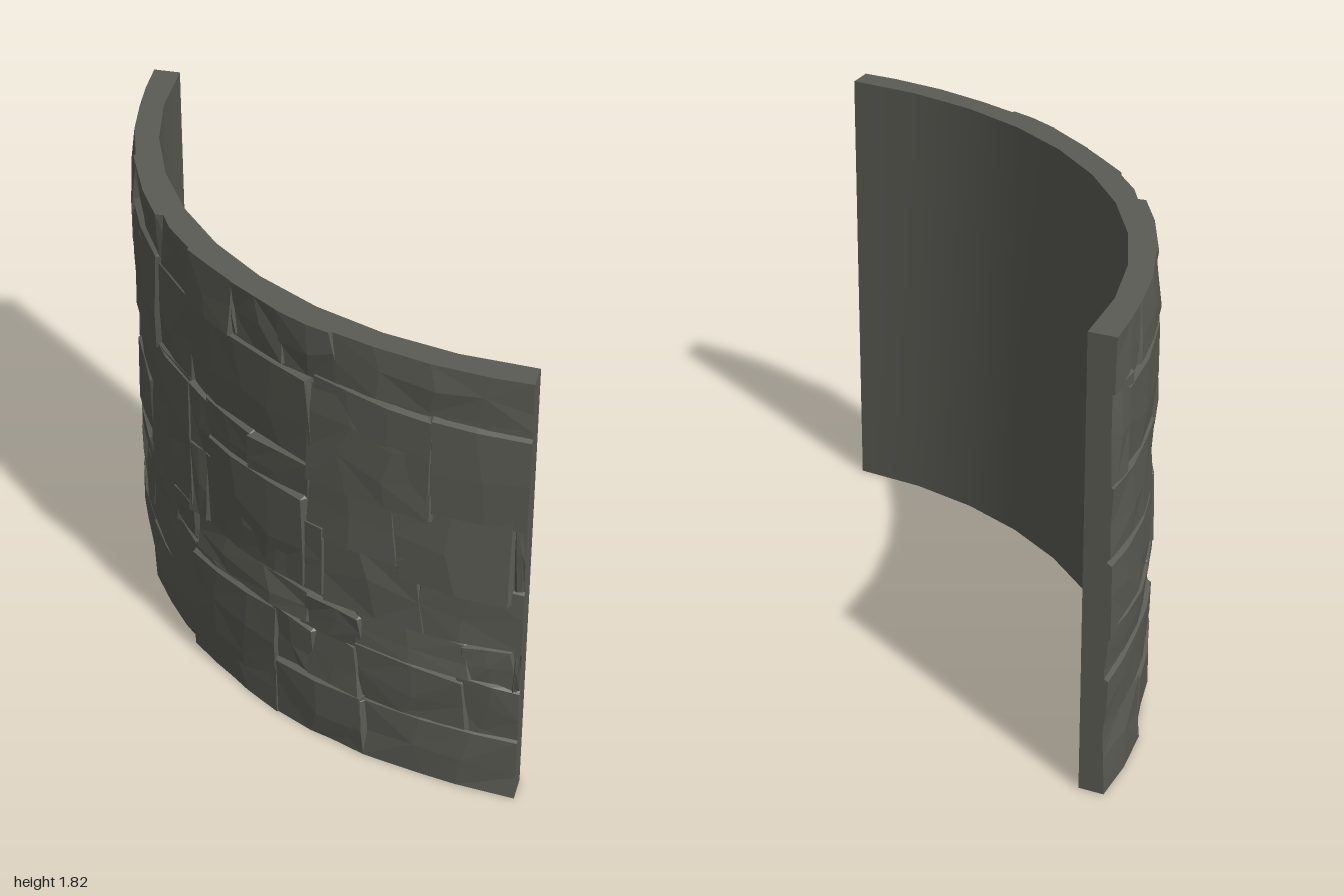
import * as THREE from 'three';

// Quarter-round wall: centre of curvature, radii, height and end angles
const CX = 0.97, CZ = -0.99, R_IN = 1.838, R_CORE = 1.927, R_FACE = 1.947, H = 1.815;
const A0 = 0.013, A1 = Math.PI / 2 + 0.01;

const stoneGrey = new THREE.MeshStandardMaterial({ color: 0x5c5c55 });
stoneGrey.name = 'stoneGrey';

let seed = 7;
const rand = () => {
  seed = (seed * 16807) % 2147483647;
  return seed / 2147483647;
};
const jitter = (s) => (rand() * 2 - 1) * s;
const clamp = THREE.MathUtils.clamp;
const lerp = THREE.MathUtils.lerp;

// angle along the wall, height, radius -> position
const place = (a, y, r) => [CX - r * Math.cos(a), y, CZ + r * Math.sin(a)];
// angle at which the outer face reaches a given x
const angleAt = (x) => clamp(Math.acos(clamp((CX - x) / R_FACE, -1, 1)), A0, A1);

// Grid surface; fn(i, j) gives a point, front side along u cross v
function sheet(name, nu, nv, fn, smooth = false, mixed = false) {
  const pos = [], index = [];
  for (let j = 0; j <= nv; j++) for (let i = 0; i <= nu; i++) pos.push(...fn(i, j));
  for (let j = 0; j < nv; j++) {
    for (let i = 0; i < nu; i++) {
      const a = j * (nu + 1) + i, b = a + 1, c = a + nu + 1, d = c + 1;
      if (mixed && rand() > 0.5) index.push(a, b, c, b, d, c);
      else index.push(a, b, d, a, d, c);
    }
  }
  let geo = new THREE.BufferGeometry();
  geo.setAttribute('position', new THREE.Float32BufferAttribute(pos, 3));
  geo.setIndex(index);
  if (!smooth) geo = geo.toNonIndexed();
  geo.computeVertexNormals();
  const mesh = new THREE.Mesh(geo, stoneGrey);
  mesh.name = name;
  return mesh;
}

// One rough stone: faceted, tilted face with a skirt running into the wall
function stone(x0, x1, y0, y1, proud = 0) {
  const a0 = angleAt(x0), a1 = angleAt(x1);
  const nu = Math.max(2, Math.round((a1 - a0) / 0.1));
  const nv = Math.max(2, Math.round((y1 - y0) / 0.15));
  const lift = R_FACE + proud + jitter(0.005), tiltU = jitter(0.008), tiltV = jitter(0.01);
  const skew = [0, 1, 2, 3].map(() => [jitter(0.012), jitter(0.025)]);
  return sheet('stone', nu + 2, nv + 2, (i, j) => {
    const skirt = i === 0 || j === 0 || i === nu + 2 || j === nv + 2;
    const u = clamp(i - 1, 0, nu) / nu, v = clamp(j - 1, 0, nv) / nv;
    const edgeU = u === 0 || u === 1, edgeV = v === 0 || v === 1;
    // bilinear shift of the four corners keeps the outline irregular
    const shift = (k) => lerp(lerp(skew[0][k], skew[1][k], u), lerp(skew[2][k], skew[3][k], u), v);
    let a = lerp(a0, a1, u) + shift(0), y = lerp(y0, y1, v) + shift(1);
    if (!edgeU) a += jitter(0.2) * (a1 - a0) / nu;
    if (!edgeV) y += jitter(0.25) * (y1 - y0) / nv;
    let r = lift + tiltU * (u * 2 - 1) + tiltV * (v * 2 - 1) + jitter(0.006);
    if (edgeU || edgeV) r -= 0.006;
    if (skirt) {
      r = R_CORE - 0.012;
      if (i === 0) a -= 0.012;
      if (i === nu + 2) a += 0.012;
      if (j === 0) y -= 0.015;
      if (j === nv + 2) y += 0.015;
    }
    // stones on the border finish flush with the wall
    if (y0 <= 0 && v === 0) y = 0;
    if (y1 >= H && v === 1) y = H;
    if (x0 <= -1 && u === 0) a = A0;
    if (x1 >= 1 && u === 1) a = A1;
    return place(clamp(a, A0, A1), clamp(y, 0, H), Math.min(r, 1.968));
  }, false, true);
}

export function createModel() {
  const model = new THREE.Group();
  model.name = 'curvedStoneWall';

  // Plain wall body
  const N = 10;
  const ang = (i) => lerp(A0, A1, i / N);
  const body = new THREE.Group();
  body.name = 'wallBody';
  body.add(
    sheet('innerFace', N, 1, (i, j) => place(ang(N - i), j * H, R_IN), true),
    sheet('outerCore', N * 2, 1, (i, j) => place(ang(i / 2), j * H, R_CORE)),
    sheet('topRim', N, 1, (i, j) => place(ang(i), H, j ? R_IN : R_CORE)),
    sheet('bottomRim', N, 1, (i, j) => place(ang(i), 0, j ? R_CORE : R_IN)),
    sheet('leftEnd', 1, 1, (i, j) => place(A1, j * H, i ? R_IN : R_CORE)),
    sheet('rightEnd', 1, 1, (i, j) => place(A0, j * H, i ? R_CORE : R_IN)),
  );
  model.add(body);

  // Courses of stones: bottom, top, vertical joints
  const courses = [
    [0, 0.26, [-1, -0.93, -0.72, -0.41, 0, 0.37, 1]],
    [0.26, 0.5, [-1, -0.85, -0.72, -0.41, 0, 0.16, 0.36, 0.78, 1]],
    [0.5, 0.66, [-1, -0.9, -0.72, -0.53, -0.41, 0.13, 0.37, 0.78, 0.96, 1]],
    [0.66, 0.95, [-1, -0.85, -0.72, -0.41, -0.34, 0.2, 0.6, 1]],
    [0.95, 1.23, [-1, -0.87, -0.7, -0.41, -0.31, -0.11, 0.14, 0.5, 0.95, 1]],
    [1.23, 1.6, [-1, -0.97, -0.87, -0.62, -0.41, 0.16, 0.63, 1]],
    [1.6, H, [-1, -0.95, -0.82, -0.6, -0.41, -0.18, 0.04, 0.25, 1]],
  ];
  const stones = new THREE.Group();
  stones.name = 'stoneFacing';
  for (const [y0, y1, joints] of courses) {
    for (let k = 0; k < joints.length - 1; k++) stones.add(stone(joints[k], joints[k + 1], y0, y1));
  }

  // Larger stones that break the courses
  const large = [
    [-0.41, 0, 0, 0.49], [-0.7, -0.41, 0.72, 1.25], [0.16, 0.63, 1.18, 1.6],
    [-0.87, -0.62, 1.2, 1.62], [0.5, 0.95, 0.88, 1.25], [-0.41, -0.18, 1.6, H],
    [0, 0.37, 0, 0.26], [-0.31, 0.14, 0.68, 1.05],
  ];
  for (const s of large) stones.add(stone(...s, 0.008));
  model.add(stones);
  return model;
}
